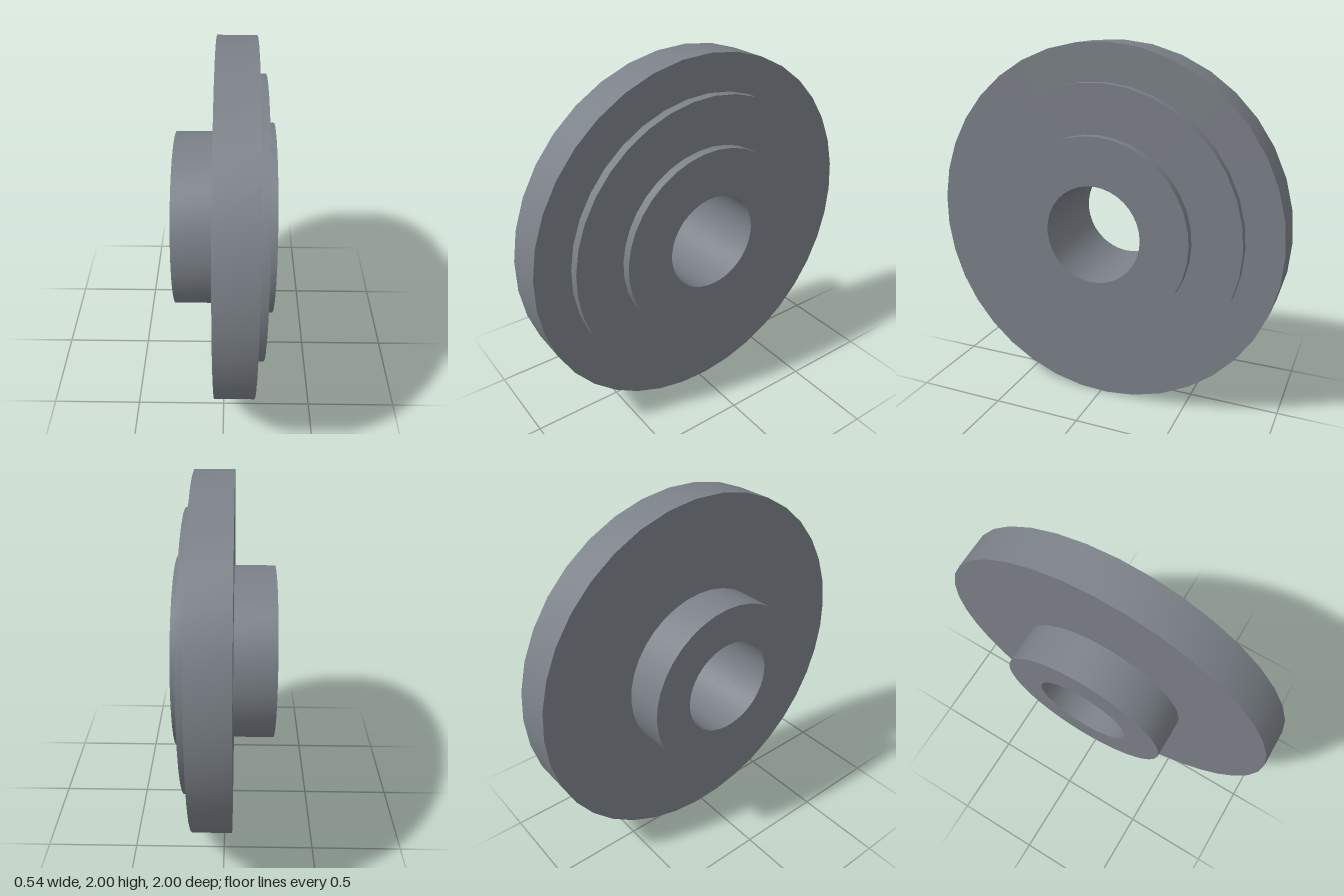
import * as THREE from 'three';
import { toCreasedNormals } from 'three/addons/utils/BufferGeometryUtils.js';

const SIDES = 37;

// Radii
const BORE = 0.27, HUB = 0.484, BOSS = 0.534, STEP = 0.8, FLANGE = 1;
// Positions along the axle (x), from the hub end to the boss end
const X_HUB = -0.27, X_BACK = -0.046, X_FACE = 0.167, X_STEP = 0.218, X_BOSS = 0.268;

export function createModel() {
  const group = new THREE.Group();
  group.name = 'steppedFlange';
  const material = new THREE.MeshStandardMaterial({ color: 0x7b8188 });

  // Revolves a [radius, x] profile about the x axis, keeping its corners sharp
  function addTurned(name, profile) {
    const points = profile.map(([r, x]) => new THREE.Vector2(r, x));
    const lathe = new THREE.LatheGeometry(points, SIDES, Math.PI);
    lathe.rotateZ(-Math.PI / 2);
    const mesh = new THREE.Mesh(toCreasedNormals(lathe, 0.5), material);
    mesh.name = name;
    mesh.position.y = 1;
    group.add(mesh);
  }

  // Long hub on the -x side
  addTurned('hub', [[BORE, X_HUB], [HUB, X_HUB], [HUB, X_BACK]]);
  // Main disc
  addTurned('flange', [[HUB, X_BACK], [FLANGE, X_BACK], [FLANGE, X_FACE], [STEP, X_FACE]]);
  // Two shallow raised rings on the +x side
  addTurned('raisedStep', [[STEP, X_FACE], [STEP, X_STEP], [BOSS, X_STEP]]);
  addTurned('boss', [[BOSS, X_STEP], [BOSS, X_BOSS], [BORE, X_BOSS]]);
  // Through hole, facing inward
  addTurned('bore', [[BORE, X_BOSS], [BORE, X_HUB]]);

  return group;
}
